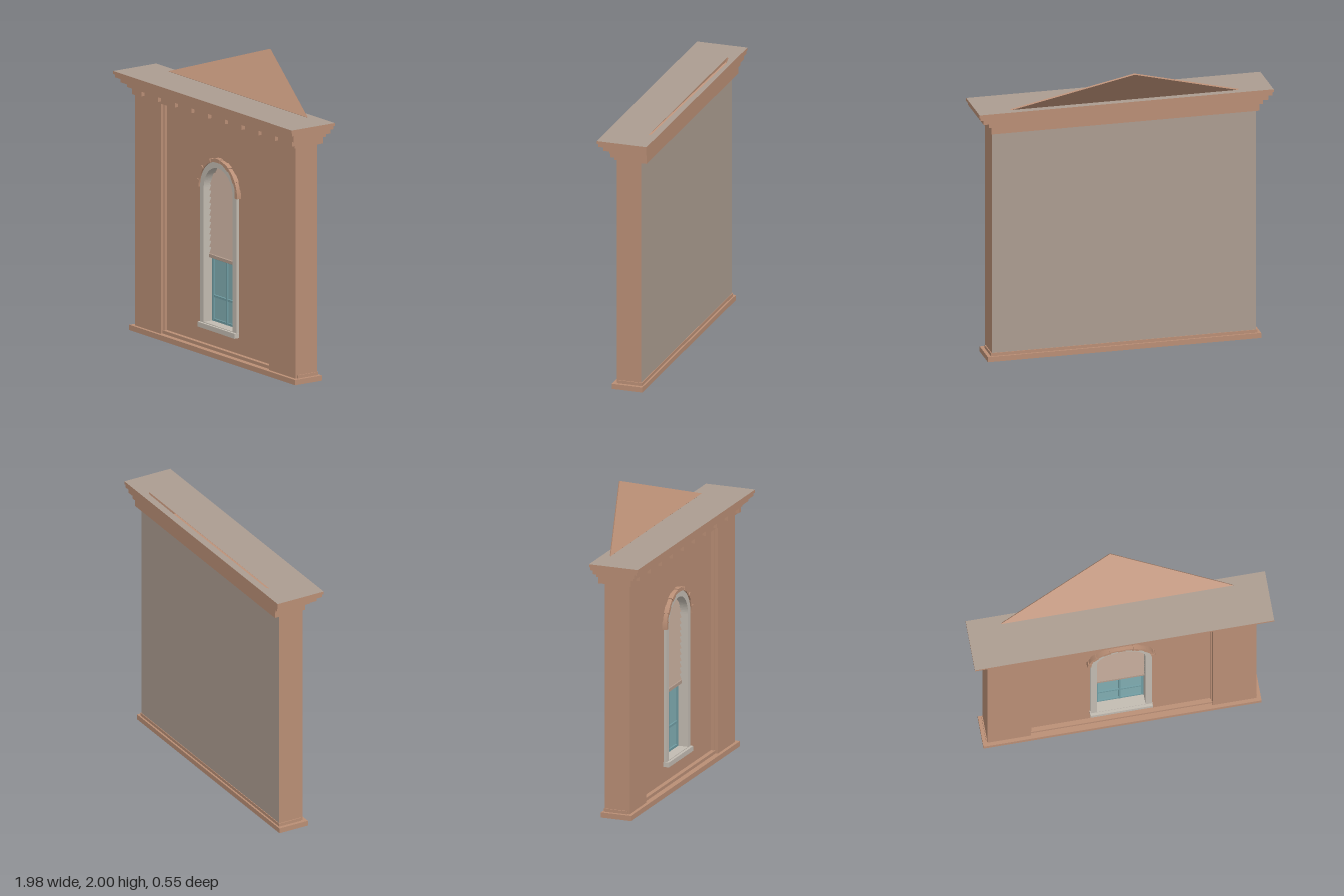
import * as THREE from 'three';

const mat = (name, color) => {
  const m = new THREE.MeshStandardMaterial({ color });
  m.name = name;
  return m;
};

export function createModel() {
  const brick = mat('terracotta', 0xb98e75);
  const stone = mat('grey stone', 0xab9c90);
  const trim = mat('pale trim', 0xc2bbb1);
  const slatMat = mat('shutter beige', 0xb39c8d);
  const sashMat = mat('sash teal', 0x709ca2);
  const glass = mat('glass teal', 0x80acb1);
  const model = new THREE.Group();
  model.name = 'facade';

  const add = (name, geometry, material, parent = model) => {
    const m = new THREE.Mesh(geometry, material);
    m.name = name;
    parent.add(m);
    return m;
  };
  // Box given by its limits on each axis
  const box = (name, x0, x1, y0, y1, z0, z1, material, parent) => {
    const g = new THREE.BoxGeometry(x1 - x0, y1 - y0, z1 - z0);
    g.translate((x0 + x1) / 2, (y0 + y1) / 2, (z0 + z1) / 2);
    return add(name, g, material, parent);
  };
  const group = (name) => {
    const g = new THREE.Group();
    g.name = name;
    model.add(g);
    return g;
  };
  const extrude = (shape, z0, z1) => {
    const g = new THREE.ExtrudeGeometry(shape, { depth: z1 - z0, bevelEnabled: false, curveSegments: 20 });
    return g.translate(0, 0, z0);
  };

  const SPRING = 1.1; // height where the window arch begins
  // Round-headed outline; works for both shapes and holes
  const arch = (path, r, y0) => {
    path.moveTo(-r, y0);
    path.lineTo(r, y0);
    path.lineTo(r, SPRING);
    path.absarc(0, SPRING, r, 0, Math.PI, false);
    path.lineTo(-r, y0);
    return path;
  };

  // Wall: slab with grey back, recessed panel with window opening, pilasters
  const wall = group('wall');
  box('backSlab', -0.888, 0.888, 0.03, 1.6, 0, 0.06, [brick, brick, brick, brick, brick, stone], wall);
  const panel = new THREE.Shape();
  panel.moveTo(-0.6, 0.03);
  panel.lineTo(0.6, 0.03);
  panel.lineTo(0.6, 1.6);
  panel.lineTo(-0.6, 1.6);
  panel.closePath();
  panel.holes.push(arch(new THREE.Path(), 0.18, 0.18));
  add('recessedPanel', extrude(panel, 0.06, 0.13), brick, wall);
  for (const s of [-1, 1]) {
    box('pilaster', Math.min(s * 0.6, s * 0.888), Math.max(s * 0.6, s * 0.888), 0.03, 1.6, 0.06, 0.175, brick, wall);
    box('pilasterReveal', s * 0.597 - 0.004, s * 0.597 + 0.004, 0.05, 1.6, 0.13, 0.152, brick, wall);
  }

  // Plinth
  const base = group('base');
  box('plinth', -0.918, 0.918, 0, 0.035, -0.016, 0.198, brick, base);
  box('plinthStep', -0.895, 0.895, 0.035, 0.056, -0.004, 0.16, brick, base);

  // Stepped cornice: half width, bottom, top, back, front
  const cornice = group('cornice');
  [
    [0.9, 1.582, 1.63, -0.04, 0.188],
    [0.92, 1.63, 1.658, -0.047, 0.214],
    [0.957, 1.658, 1.69, -0.056, 0.241],
    [0.98, 1.69, 1.712, -0.066, 0.267],
  ].forEach(([w, y0, y1, z0, z1]) => box('corniceStep', -w, w, y0, y1, z0, z1, brick, cornice));
  box('corniceCap', -0.988, 0.988, 1.712, 1.732, -0.07, 0.276, [brick, brick, stone, brick, brick, brick], cornice);
  for (let i = 0; i < 10; i++) {
    const x = -0.783 + i * 0.185;
    box('dentil', x - 0.02, x + 0.02, 1.598, 1.63, 0.18, 0.213, brick, cornice);
  }

  // Thin gable leaning back from the cornice
  const gable = new THREE.Shape();
  gable.moveTo(-0.77, 0);
  gable.lineTo(0.77, 0);
  gable.lineTo(0, 0.372);
  gable.closePath();
  const gableMesh = add('gable', extrude(gable, -0.005, 0.005), brick);
  gableMesh.position.set(0, 1.73, -0.012);
  gableMesh.rotation.x = -Math.atan2(0.256, 0.266);

  // Window surround and sill
  const win = group('window');
  const frame = arch(new THREE.Shape(), 0.202, 0.185);
  frame.holes.push(arch(new THREE.Path(), 0.16, 0.2));
  add('windowFrame', extrude(frame, 0.06, 0.15), trim, win);
  box('sill', -0.206, 0.206, 0.163, 0.196, 0.06, 0.168, trim, win);

  // Hood of arch blocks, alternating slightly in size
  const N = 13;
  for (let i = 0; i < N; i++) {
    const a0 = (i / N) * Math.PI, a1 = ((i + 1) / N) * Math.PI;
    const block = new THREE.Shape();
    block.absarc(0, SPRING, i % 2 ? 0.22 : 0.226, a0, a1, false);
    block.absarc(0, SPRING, 0.2, a1, a0, true);
    block.closePath();
    add('hoodBlock', extrude(block, 0.125, i % 2 ? 0.158 : 0.162), brick, win);
  }

  // Sash with four panes
  const sash = group('sash');
  box('panes', -0.16, 0.16, 0.2, 0.64, 0.06, 0.07, glass, sash);
  for (const x of [-0.152, 0, 0.152]) {
    const h = x ? 0.009 : 0.006;
    box('sashStile', x - h, x + h, 0.2, 0.64, 0.068, 0.082, sashMat, sash);
  }
  for (const [y0, y1] of [[0.2, 0.216], [0.36, 0.375], [0.614, 0.632]]) {
    box('sashRail', -0.16, 0.16, y0, y1, 0.068, 0.081, sashMat, sash);
  }

  // Louvred shutter filling the arch above the sash
  const shutter = group('shutter');
  add('shutterBack', extrude(arch(new THREE.Shape(), 0.16, 0.63), 0.06, 0.085), slatMat, shutter);
  box('shutterRail', -0.16, 0.16, 0.628, 0.65, 0.06, 0.108, slatMat, shutter);
  for (let i = 0; i < 14; i++) {
    const y = 0.672 + i * 0.042;
    const rise = Math.max(0, y + 0.012 - SPRING);
    const w = Math.sqrt(0.16 ** 2 - rise ** 2);
    const slat = add('slat', new THREE.BoxGeometry(2 * w, 0.04, 0.008), slatMat, shutter);
    slat.position.set(0, y, 0.093);
    slat.rotation.x = -0.4;
  }

  return model;
}
